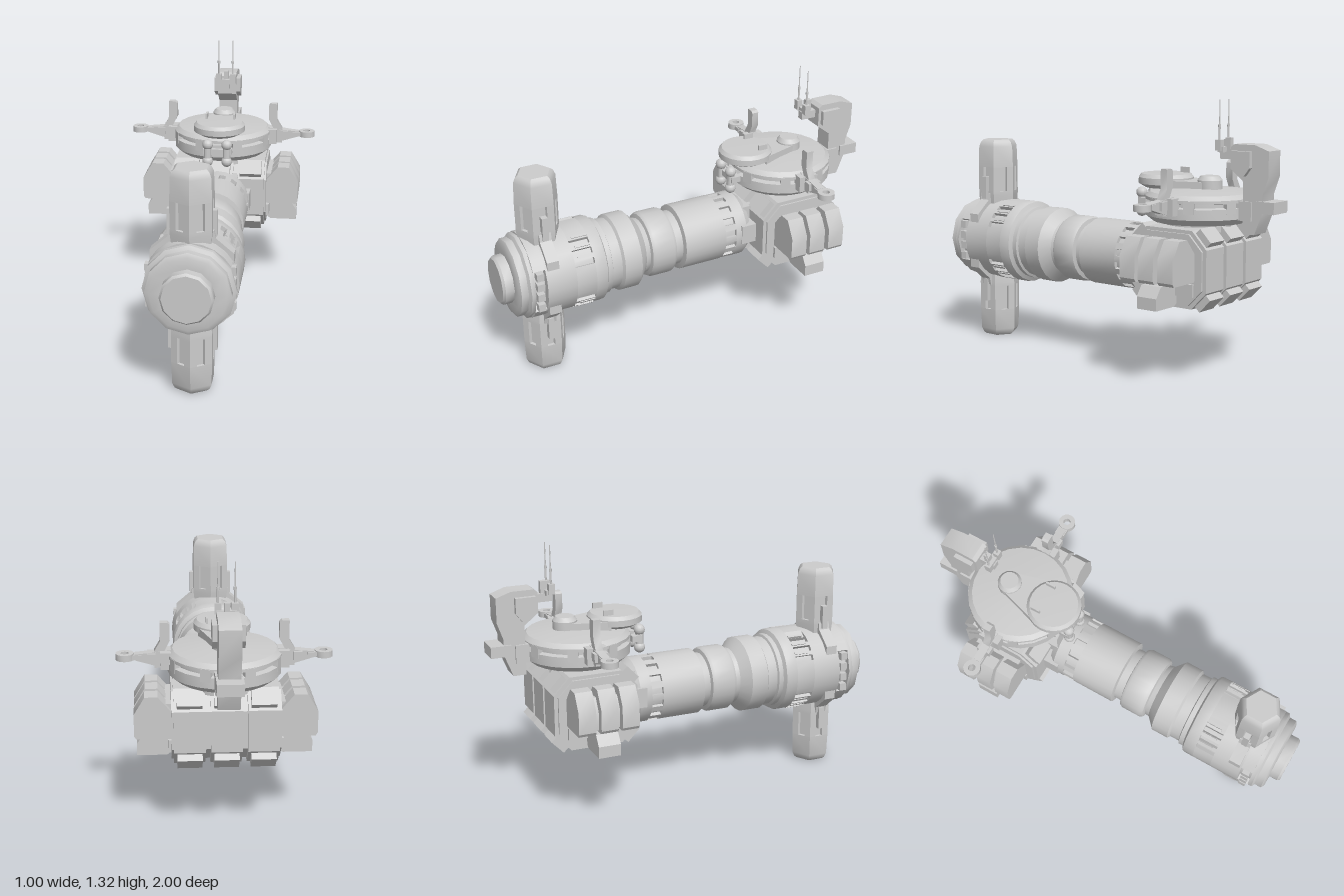
import * as THREE from 'three';
import { toCreasedNormals } from 'three/addons/utils/BufferGeometryUtils.js';

const mat = new THREE.MeshStandardMaterial({ color: 0xcccccc, side: THREE.DoubleSide });
const AXIS = 0.54; // height of the main hull axis
const HEAD_Z = -0.55;
const rad = THREE.MathUtils.degToRad;

export function createModel() {
  const model = new THREE.Group();

  function add(name, geo, x = 0, y = 0, z = 0, parent = model) {
    const mesh = new THREE.Mesh(toCreasedNormals(geo, 0.55), mat);
    mesh.name = name;
    mesh.position.set(x, y, z);
    parent.add(mesh);
    return mesh;
  }
  const box = (name, w, h, d, x, y, z, parent) =>
    add(name, new THREE.BoxGeometry(w, h, d), x, y, z, parent);
  const cyl = (name, r0, r1, h, n, x, y, z) =>
    add(name, new THREE.CylinderGeometry(r0, r1, h, n), x, y, z);
  const lathe = (pts, n) =>
    new THREE.LatheGeometry(pts.map(([r, h]) => new THREE.Vector2(r, h)), n);
  // outline extruded along z, centred on its depth
  function slab(pts, depth) {
    const shape = new THREE.Shape(pts.map(([x, y]) => new THREE.Vector2(x, y)));
    return new THREE.ExtrudeGeometry(shape, { depth, bevelEnabled: false }).translate(0, 0, -depth / 2);
  }
  // outline given as (z, y), extruded along x
  const sideSlab = (pts, width) => slab(pts.map(([z, y]) => [-z, y]), width).rotateY(Math.PI / 2);

  // regular polygon outline with slots cut into its rim; angles in degrees
  function slotted(r, n, phase, slots, half, depth) {
    const step = 360 / n;
    const at = (deg, cut) => {
      const k = (((deg - phase) % step) + step) % step - step / 2;
      const d = r * Math.cos(rad(step / 2)) / Math.cos(rad(k)) - cut;
      return [d * Math.cos(rad(deg)), d * Math.sin(rad(deg))];
    };
    const marks = [];
    for (let i = 0; i < n; i++) {
      const a = phase + i * step;
      const inside = slots.some((s) => Math.abs(((a - s + 540) % 360) - 180) <= half);
      marks.push([a, [at(a, inside ? depth : 0)]]);
    }
    for (const s of slots) {
      marks.push([s - half, [at(s - half, 0), at(s - half, depth)]]);
      marks.push([s + half, [at(s + half, depth), at(s + half, 0)]]);
    }
    const norm = (a) => ((a % 360) + 360) % 360;
    return marks.sort((p, q) => norm(p[0]) - norm(q[0])).flatMap((m) => m[1]);
  }

  // ---- Main hull: turned sections alternating with slotted bands ----
  const turned = (name, pts, n = 24) => add(name, lathe(pts, n).rotateX(Math.PI / 2), 0, AXIS, 0);
  const band = (name, z0, z1, outline) => add(name, slab(outline, z1 - z0), 0, AXIS, (z0 + z1) / 2);

  turned('noseCap', [[0, 0.87], [0.213, 0.87], [0.213, 0.89], [0.195, 0.9], [0.195, 0.935],
    [0.175, 0.945], [0.122, 0.945], [0.122, 0.988], [0.112, 1], [0, 1]], 12);
  band('sensorBand', 0.81, 0.87, slotted(0.216, 24, 0, [0, 180], 31, 0.04));
  turned('frontHull', [[0, 0.66], [0.216, 0.66], [0.216, 0.81], [0, 0.81]]);
  const ventAngles = [0, 90, 180, 270].flatMap((q) => (q % 180 ? [34, 48, 62] : [28, 42, 56]).map((a) => q + a));
  band('ventBand', 0.56, 0.66, slotted(0.216, 24, 0, ventAngles, 4, 0.02));
  turned('middleHull', [[0, -0.17], [0.168, -0.17], [0.168, 0.055], [0.14, 0.06], [0.14, 0.1],
    [0.16, 0.105], [0.168, 0.12], [0.168, 0.22], [0.16, 0.235], [0.14, 0.24], [0.145, 0.265],
    [0.195, 0.31], [0.195, 0.4], [0.18, 0.41], [0.18, 0.46], [0.192, 0.465], [0.192, 0.49],
    [0.212, 0.5], [0.216, 0.51], [0.216, 0.56], [0, 0.56]]);
  band('collarBand', -0.23, -0.17, slotted(0.168, 24, 0,
    Array.from({ length: 16 }, (_, i) => 11.25 + i * 22.5), 6, 0.018));
  turned('rearCollar', [[0, -0.32], [0.145, -0.32], [0.168, -0.29], [0.168, -0.23], [0, -0.23]]);
  for (const s of [-1, 1])
    for (let i = 0; i < 4; i++)
      box('sensorBlock', 0.035, 0.038, 0.036, s * 0.187, AXIS - 0.084 + i * 0.056, 0.84);
  for (const s of [-1, 1])
    for (const t of [-1, 1])
      for (const a of [30, 44, 58])
        box('ventFin', 0.012, 0.012, 0.08, s * 0.213 * Math.cos(rad(a + 6)),
          AXIS + t * 0.213 * Math.sin(rad(a + 6)), 0.6).rotation.z = s * t * rad(a + 6);

  // ---- Upper and lower hexagonal pods ----
  for (const turn of [0, Math.PI]) {
    const pod = new THREE.Group();
    pod.name = turn ? 'lowerPod' : 'upperPod';
    pod.position.set(0, AXIS, 0.77);
    pod.rotation.z = turn;
    model.add(pod);
    add('podFoot', lathe([[0, 0.17], [0.1, 0.17], [0.109, 0.24], [0.109, 0.26], [0, 0.26]], 6), 0, 0, 0, pod);
    const faces = [0, 60, 120, 180, 240, 300];
    add('podSlots', slab(slotted(0.109, 6, 30, faces, 12, 0.016), 0.13).rotateX(-Math.PI / 2), 0, 0.325, 0, pod);
    add('podCap', lathe([[0, 0.39], [0.109, 0.39], [0.105, 0.5], [0.094, 0.525], [0.08, 0.536], [0, 0.536]], 6), 0, 0, 0, pod);
    for (const s of [-1, 1]) {
      add('podBracket', slab([[0.07, 0.25], [0.1, 0.25], [0.108, 0.215], [0.19, 0.145], [0.19, 0.08], [0.07, 0.15]]
        .map(([x, y]) => [s * x, y]), 0.06), 0, 0, 0, pod);
      box('podClamp', 0.03, 0.12, 0.03, s * 0.098, 0.28, 0, pod);
    }
  }

  // ---- Head: octagonal barrel across the hull ----
  const octagon = (k) => [[0.21, 0.1], [0.13, 0.183], [-0.13, 0.183], [-0.21, 0.1],
    [-0.21, -0.1], [-0.13, -0.183], [0.13, -0.183], [0.21, -0.1]].map(([z, y]) => [z * k, y * k]);
  const headY = 0.552;
  add('headCore', sideSlab(octagon(0.91), 0.5), 0, headY, HEAD_Z);
  for (const x of [-0.168, 0, 0.168]) {
    add('headSegment', sideSlab(octagon(1), 0.144), x, headY, HEAD_Z);
    for (const sz of [-1, 1])
      for (const sy of [-1, 1])
        box('armourPlate', 0.115, 0.04, 0.085, x, headY + sy * 0.15, HEAD_Z + sz * 0.18).rotation.x = sz * sy * rad(46);
  }
  box('headJoint', 0.34, 0.1, 0.14, 0, 0.55, -0.33);
  box('headNeckBlock', 0.2, 0.24, 0.12, 0, 0.55, -0.34);

  // ---- Side boxes on the head ----
  for (const s of [-1, 1]) {
    const m = (pts) => pts.map(([x, y]) => [s * x, y]);
    for (const z of [-0.66, -0.55, -0.445])
      add('sidePod', slab(m([[0.24, 0.5], [0.41, 0.5], [0.42, 0.515], [0.42, 0.62], [0.37, 0.703], [0.31, 0.703], [0.24, 0.62]]), 0.085), 0, 0, z);
    add('sidePodSpine', slab(m([[0.24, 0.51], [0.385, 0.51], [0.385, 0.6], [0.35, 0.66], [0.24, 0.66]]), 0.25), 0, 0, HEAD_Z);
    add('lowerSidePod', slab(m([[0.24, 0.485], [0.375, 0.485], [0.41, 0.435], [0.41, 0.378], [0.27, 0.378], [0.24, 0.4]]), 0.11), 0, 0, HEAD_Z);
    box('lowerSideRail', 0.03, 0.06, 0.3, s * 0.25, 0.46, HEAD_Z);
  }

  // ---- Round deck on top of the head ----
  const deckZ = -0.56;
  add('deck', lathe([[0, 0.71], [0.17, 0.71], [0.17, 0.75], [0.225, 0.75], [0.262, 0.78], [0.262, 0.83],
    [0.235, 0.835], [0.235, 0.85], [0.262, 0.855], [0.262, 0.87], [0.24, 0.89], [0.1, 0.905], [0, 0.905]], 24), 0, 0, deckZ);
  for (let i = 0; i < 8; i++) {
    const a = (i + 0.5) * Math.PI / 4;
    box('deckLug', 0.05, 0.06, 0.03, 0.247 * Math.sin(a), 0.838, deckZ + 0.247 * Math.cos(a)).rotation.y = a;
  }

  // Teardrop platform: large disc, small drum and a tapering bridge
  add('platformDisc', lathe([[0, 0.895], [0.1, 0.895], [0.135, 0.915], [0.135, 0.945], [0.12, 0.962], [0, 0.965]], 24), 0, 0, -0.36);
  add('platformDrum', lathe([[0, 0.89], [0.06, 0.89], [0.06, 0.945], [0.045, 0.965], [0, 0.965]], 16), 0, 0, -0.615);
  add('platformBridge', slab([[-0.055, 0.62], [0.055, 0.62], [0.115, 0.42], [-0.115, 0.42]], 0.045).rotateX(-Math.PI / 2), 0, 0.915, 0);
  for (const s of [-1, 1]) box('platformFin', 0.01, 0.035, 0.05, s * 0.074, 0.972, -0.42);

  // Front roller frame under the platform
  for (const s of [-1, 1]) {
    cyl('roller', 0.02, 0.02, 0.1, 12, s * 0.05, 0.82, -0.25);
    for (const y of [0.775, 0.865])
      add('rollerBall', new THREE.SphereGeometry(0.028, 12, 8), s * 0.05, y, -0.25);
  }
  box('rollerFrame', 0.15, 0.03, 0.05, 0, 0.825, -0.27);
  box('rollerMount', 0.06, 0.06, 0.06, 0, 0.825, -0.3);

  // ---- Side arms with ring tips and upright fins ----
  for (const s of [-1, 1]) {
    const m = (pts) => pts.map(([x, y]) => [s * x, y]);
    add('armWedge', slab(m([[0.24, 0.79], [0.3, 0.805], [0.41, 0.838], [0.41, 0.866], [0.32, 0.875], [0.24, 0.885]]), 0.04), 0, 0, deckZ);
    box('armMount', 0.05, 0.08, 0.1, s * 0.27, 0.84, deckZ);
    box('armHinge', 0.04, 0.04, 0.07, s * 0.335, 0.85, deckZ);
    add('armFin', slab(m([[0.25, 1.005], [0.262, 1.015], [0.295, 1.015], [0.295, 0.925], [0.322, 0.88],
      [0.322, 0.8], [0.275, 0.8], [0.275, 0.88], [0.25, 0.93]]), 0.036), 0, 0, deckZ);
    const ring = new THREE.Shape().absarc(0, 0, 0.042, 0, Math.PI * 2);
    ring.holes.push(new THREE.Path().absarc(0, 0, 0.018, 0, Math.PI * 2));
    add('armRing', new THREE.ExtrudeGeometry(ring, { depth: 0.03, bevelEnabled: false, curveSegments: 8 })
      .rotateX(-Math.PI / 2), s * 0.456, 0.838, deckZ);
    box('armLink', 0.05, 0.022, 0.05, s * 0.405, 0.852, deckZ);
  }

  // ---- Rear tower ----
  add('tower', sideSlab([[-0.76, 1.11], [-0.78, 1.125], [-0.89, 1.125], [-0.963, 1.1], [-0.963, 0.98], [-0.935, 0.9],
    [-0.935, 0.82], [-0.893, 0.713], [-0.83, 0.713], [-0.83, 0.955], [-0.76, 1.01]], 0.1));
  add('towerCheeks', sideSlab([[-0.775, 1.095], [-0.875, 1.095], [-0.875, 1.02], [-0.845, 0.98], [-0.775, 1.02]], 0.145));
  box('towerTailBlock', 0.12, 0.055, 0.1, 0, 0.843, -0.95);
  box('towerLink', 0.12, 0.09, 0.12, 0, 0.82, -0.82);
  box('mastBar', 0.09, 0.025, 0.03, 0, 1.095, -0.7);
  box('mastArm', 0.035, 0.04, 0.1, 0, 1.07, -0.73);
  box('mastHead', 0.025, 0.06, 0.03, 0, 1.12, -0.72);

  // Twin antennas
  for (const s of [-1, 1]) {
    box('antennaFoot', 0.03, 0.05, 0.03, s * 0.038, 1.115, -0.69);
    cyl('antennaBase', 0.005, 0.005, 0.08, 8, s * 0.038, 1.165, -0.69);
    cyl('antennaJoint', 0.007, 0.007, 0.014, 8, s * 0.038, 1.205, -0.69);
    cyl('antennaRod', 0.0025, 0.0035, 0.12, 6, s * 0.038, 1.265, -0.69);
  }
  return model;
}
